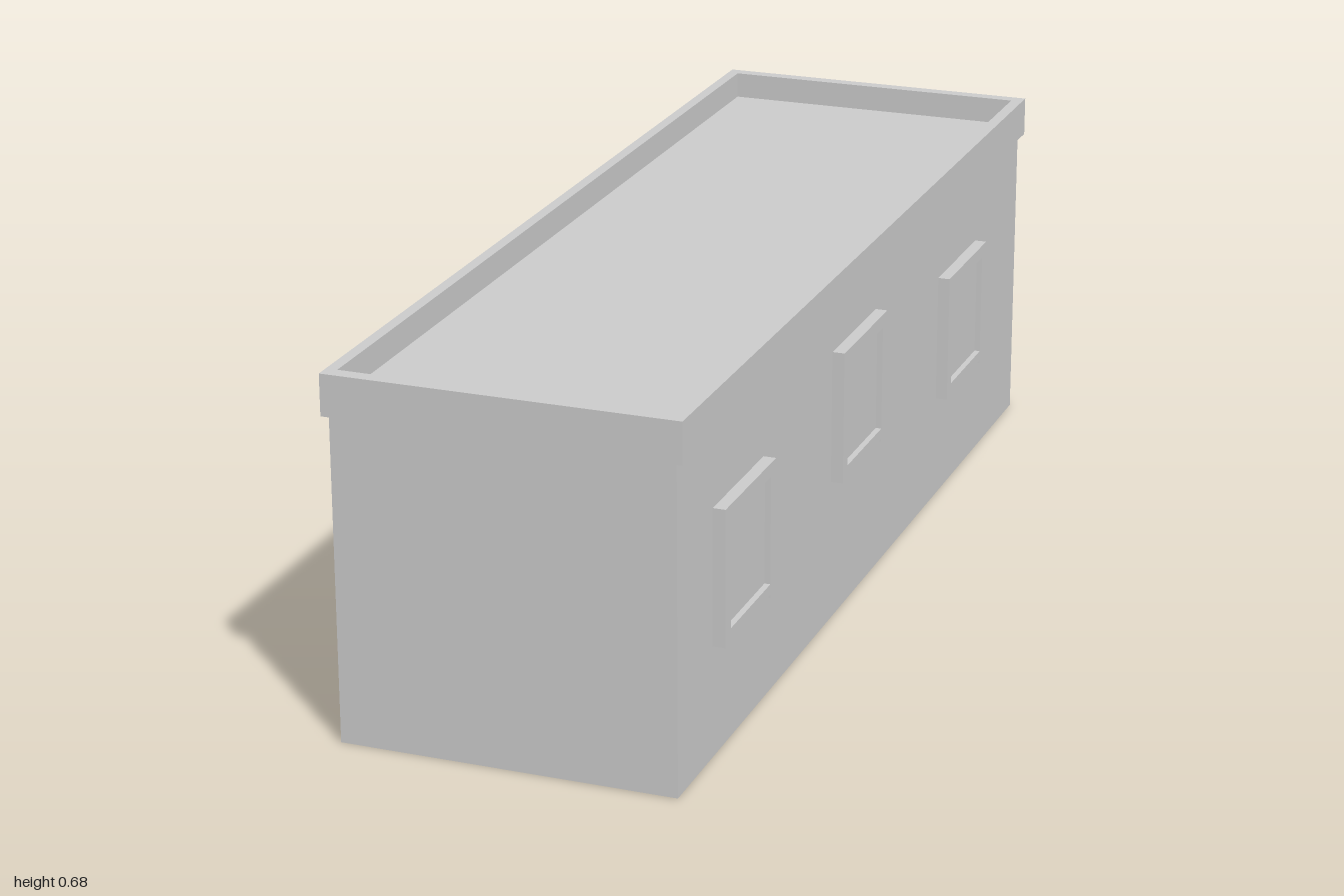
import * as THREE from 'three';

const material = new THREE.MeshStandardMaterial({ color: 0xcccccc, flatShading: true });

// Box given by its minimum and maximum corners
function box(name, [x0, y0, z0], [x1, y1, z1]) {
  const mesh = new THREE.Mesh(new THREE.BoxGeometry(x1 - x0, y1 - y0, z1 - z0), material);
  mesh.position.set((x0 + x1) / 2, (y0 + y1) / 2, (z0 + z1) / 2);
  mesh.name = name;
  return mesh;
}

// Closed outline from corner points
function outline(points, Type) {
  return new Type(points.map(([x, y]) => new THREE.Vector2(x, y)));
}

const rect = (x0, y0, x1, y1) => [[x0, y0], [x1, y0], [x1, y1], [x0, y1]];

// Raised rim around the flat roof
function createParapet() {
  const shape = outline(rect(-0.329, -1, 0.316, 1), THREE.Shape);
  shape.holes.push(outline(rect(-0.308, -0.973, 0.293, 0.975).reverse(), THREE.Path));
  const geometry = new THREE.ExtrudeGeometry(shape, { depth: 0.076, bevelEnabled: false });
  geometry.rotateX(-Math.PI / 2);
  const mesh = new THREE.Mesh(geometry, material);
  mesh.position.y = 0.6;
  mesh.name = 'parapet';
  return mesh;
}

// Square window on the left wall: frame with a slightly raised sill, and a recessed pane
function createWindow(z, y) {
  const h = 0.126, i = 0.1, wall = 0.304;
  const group = new THREE.Group();
  group.name = 'window';
  const shape = outline([
    [-h, -h], [-i, -h], [-i, -h + 0.006], [i, -h + 0.006], [i, -h], [h, -h], [h, h], [-h, h],
  ], THREE.Shape);
  shape.holes.push(outline(rect(-i, -i, i, i).reverse(), THREE.Path));
  const geometry = new THREE.ExtrudeGeometry(shape, { depth: 0.023, bevelEnabled: false });
  geometry.rotateY(Math.PI / 2);
  const frame = new THREE.Mesh(geometry, material);
  frame.name = 'windowFrame';
  const pane = box('windowPane', [0, -i, -i], [0.012, i, i]);
  group.add(frame, pane);
  group.position.set(wall, y, z);
  return group;
}

export function createModel() {
  const model = new THREE.Group();
  model.name = 'building';
  model.add(
    box('walls', [-0.316, 0, -0.993], [0.304, 0.6, 0.995]),
    box('roof', [-0.31, 0.6, -0.976], [0.295, 0.625, 0.974]),
    createParapet(),
  );
  // The middle window sits higher than the outer two
  for (const [z, y] of [[0.702, 0.333], [0.081, 0.399], [-0.571, 0.333]]) model.add(createWindow(z, y));
  return model;
}
